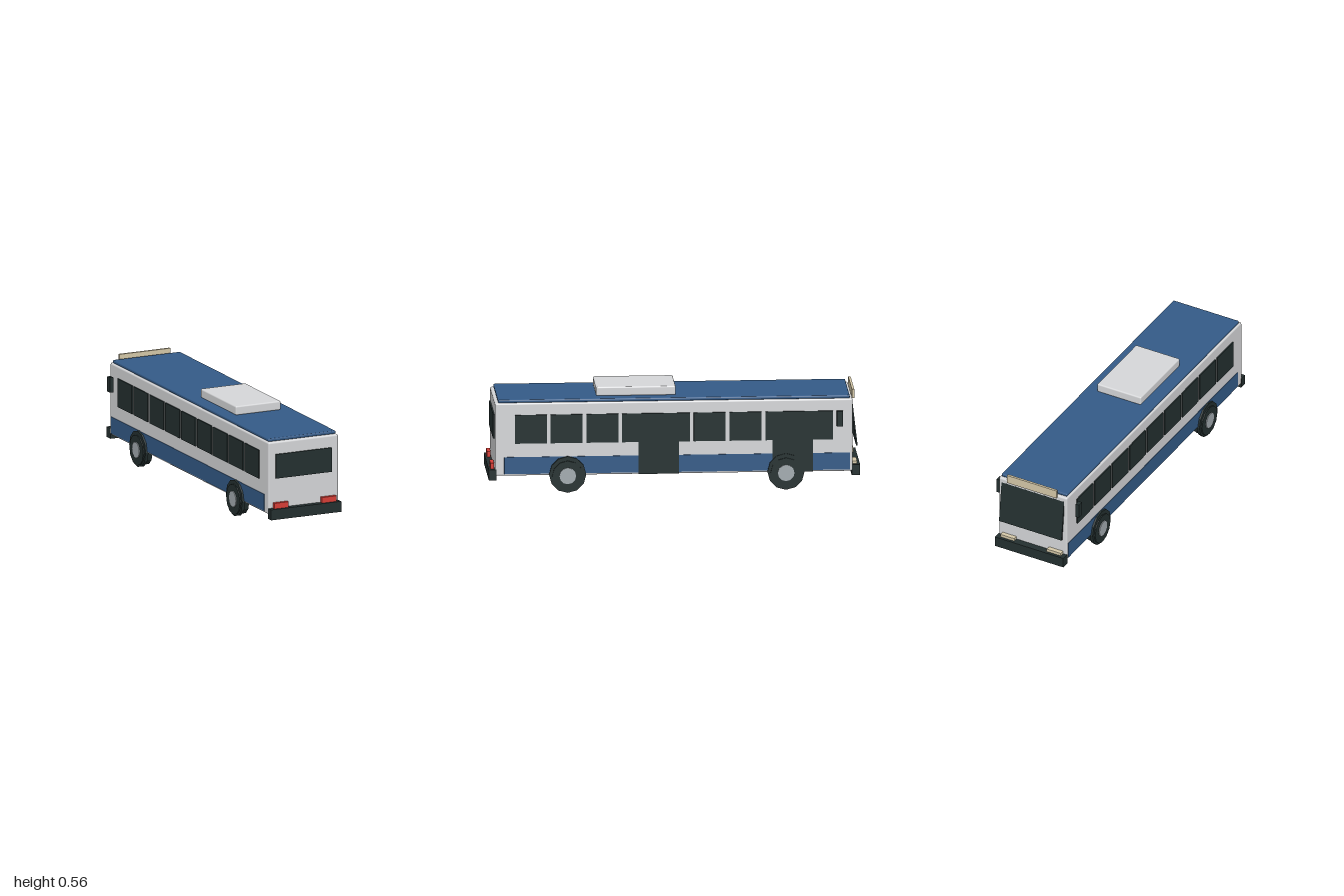
import * as THREE from 'three';
import { RoundedBoxGeometry } from 'three/addons/geometries/RoundedBoxGeometry.js';

const paint = (name, color) => {
  const m = new THREE.MeshStandardMaterial({ color });
  m.name = name;
  return m;
};

export function createModel() {
  const bus = new THREE.Group();
  bus.name = 'cityBus';
  const white = paint('bodyWhite', 0xd6d7d9);
  const blue = paint('stripeBlue', 0x345b88);
  const dark = paint('glassAndRubber', 0x243030);
  const red = paint('tailLightRed', 0xd83e37);
  const cream = paint('lampCream', 0xd6c9a9);
  const grey = paint('hubGrey', 0xa3abb0);

  const add = (name, geometry, material, x = 0, y = 0, z = 0) => {
    const mesh = new THREE.Mesh(geometry, material);
    mesh.name = name;
    mesh.position.set(x, y, z);
    bus.add(mesh);
    return mesh;
  };
  // Box given by its limits; a radius rounds the edges
  const box = (name, material, [x0, x1], [y0, y1], [z0, z1], radius = 0) => {
    const size = [x1 - x0, y1 - y0, z1 - z0];
    const geometry = radius
      ? new RoundedBoxGeometry(...size, 2, radius)
      : new THREE.BoxGeometry(...size);
    return add(name, geometry, material, (x0 + x1) / 2, (y0 + y1) / 2, (z0 + z1) / 2);
  };
  const span = (a, b) => [Math.min(a, b), Math.max(a, b)];

  // Shell, roof and roof unit
  box('body', white, [-0.21, 0.21], [0.095, 0.495], [-0.96, 0.967], 0.01);
  box('roof', blue, [-0.202, 0.202], [0.494, 0.512], [-0.945, 0.95], 0.007);
  box('airConditioner', white, [-0.135, 0.135], [0.511, 0.561], [-0.012, 0.418], 0.008);

  // Bumpers
  box('rearBumper', dark, [-0.21, 0.21], [0.072, 0.13], [0.96, 1]);
  box('frontBumper', dark, [-0.21, 0.21], [0.072, 0.13], [-1, -0.955]);

  // Rear window, leaning windscreen and destination sign
  box('rearWindow', dark, [-0.168, 0.168], [0.293, 0.427], [0.966, 0.975]);
  const windscreen = add('windscreen', new THREE.BoxGeometry(0.385, 0.237, 0.008), dark, 0, 0.35, -0.97);
  windscreen.rotation.x = 0.115;
  box('destinationSign', cream, [-0.152, 0.152], [0.485, 0.533], [-0.972, -0.959]);

  for (const side of [-1, 1]) {
    const x = (a, b) => span(side * a, side * b);
    box('sideStripe', blue, x(0.205, 0.2125), [0.105, 0.198], [-0.945, 0.917]);
    for (let i = 0; i < 9; i++) {
      const z = 0.774 - i * 0.1927;
      box('sideWindow', dark, x(0.208, 0.217), [0.273, 0.43], [z - 0.086, z + 0.086]);
    }
    box('mirror', dark, x(0.233, 0.254), [0.352, 0.435], [-0.905, -0.872]);
    box('tailLight', red, x(0.1, 0.186), [0.128, 0.161], [0.97, 0.99]);
    box('headlight', cream, x(0.1, 0.186), [0.128, 0.146], [-0.985, -0.955]);

    // Wheels: tyre, arch disc and hub
    for (const z of [0.576, -0.6]) {
      const disc = (name, material, radius, inner, outer, y, sides) => {
        const geometry = new THREE.CylinderGeometry(radius, radius, outer - inner, sides).toNonIndexed();
        geometry.computeVertexNormals();
        geometry.rotateZ(Math.PI / 2);
        add(name, geometry, material, side * (inner + outer) / 2, y, z);
      };
      disc('wheelArch', dark, 0.1, 0.206, 0.223, 0.1, 12);
      disc('tyre', dark, 0.084, 0.174, 0.23, 0.093, 12);
      disc('hub', grey, 0.045, 0.2, 0.235, 0.095, 12);
    }
  }

  // Doors, on one side only, replacing the pillar between two windows
  for (const [z0, z1] of [[-0.025, 0.195], [-0.746, -0.527]]) {
    box('door', dark, [0.208, 0.2175], [0.097, 0.43], [z0, z1]);
  }
  return bus;
}
